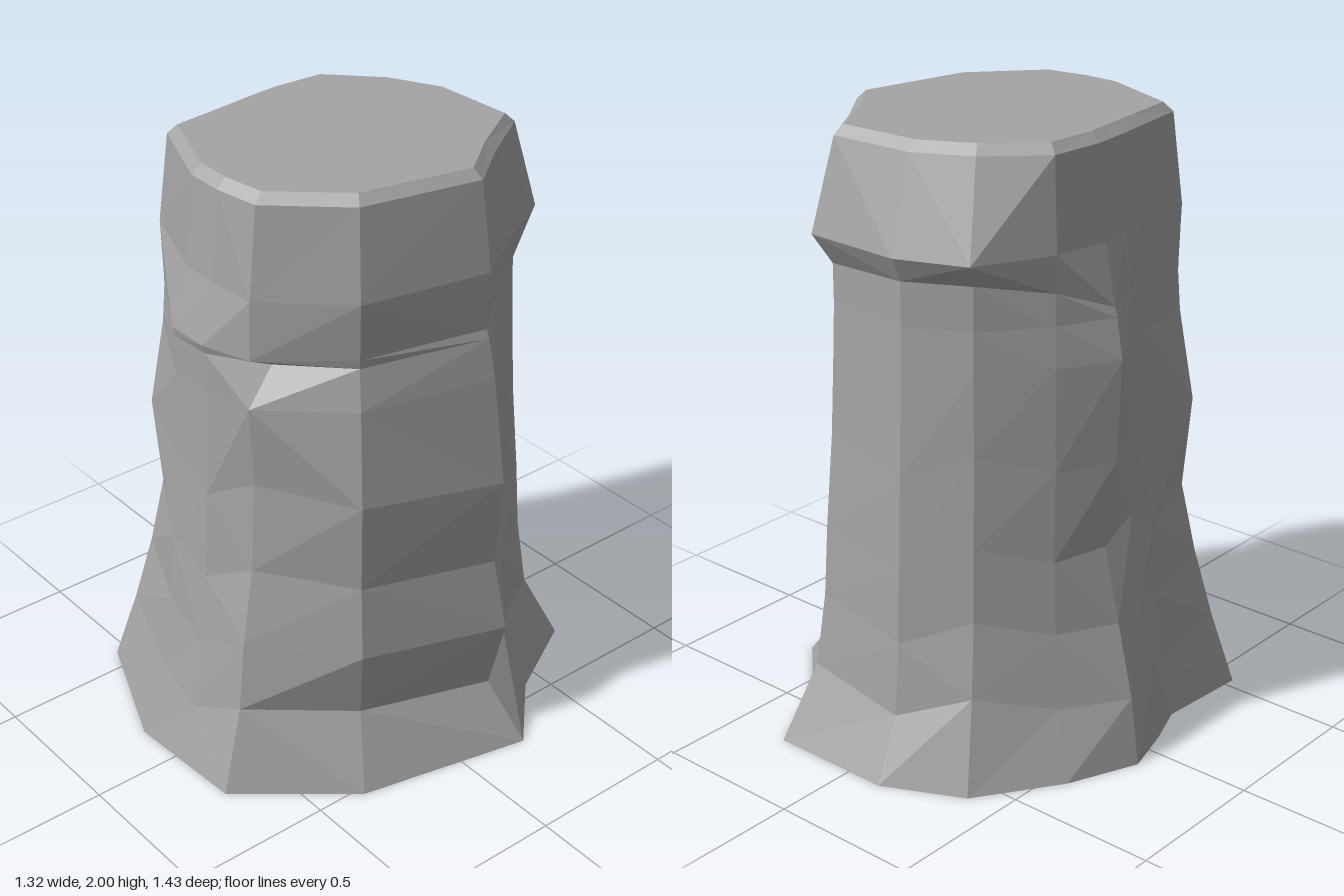
import * as THREE from 'three';

// Column directions in degrees, from +x towards +z
const ANGLES = [33, 70, 88, 103, 137, 158, 172, 188, 210, 237, 260, 292, 316, 341];

// Cross-sections from the ground up: height and one radius per column
const RINGS = [
  [0.0, [0.63, 0.73, 0.70, 0.73, 0.79, 0.60, 0.615, 0.666, 0.65, 0.705, 0.728, 0.776, 0.622, 0.694]],
  [0.24, [0.51, 0.635, 0.64, 0.65, 0.71, 0.56, 0.585, 0.63, 0.57, 0.605, 0.625, 0.65, 0.53, 0.555]],
  [0.48, [0.555, 0.60, 0.60, 0.61, 0.645, 0.53, 0.54, 0.565, 0.53, 0.56, 0.60, 0.615, 0.52, 0.61]],
  [0.72, [0.52, 0.545, 0.57, 0.595, 0.595, 0.52, 0.495, 0.50, 0.515, 0.55, 0.59, 0.60, 0.48, 0.56]],
  [1.02, [0.53, 0.52, 0.55, 0.57, 0.62, 0.485, 0.485, 0.54, 0.515, 0.54, 0.575, 0.575, 0.48, 0.58]],
  [1.33, [0.485, 0.54, 0.54, 0.56, 0.57, 0.47, 0.48, 0.555, 0.515, 0.535, 0.56, 0.56, 0.47, 0.535]],
  [1.46, [0.45, 0.41, 0.54, 0.56, 0.56, 0.46, 0.47, 0.53, 0.505, 0.53, 0.555, 0.555, 0.465, 0.51]],
  [1.49, [0.455, 0.53, 0.55, 0.565, 0.56, 0.46, 0.465, 0.52, 0.50, 0.53, 0.555, 0.555, 0.47, 0.50]],
  [1.68, [0.47, 0.52, 0.50, 0.51, 0.565, 0.46, 0.45, 0.475, 0.51, 0.595, 0.595, 0.62, 0.50, 0.507]],
  [1.97, [0.43, 0.48, 0.475, 0.485, 0.53, 0.445, 0.43, 0.44, 0.485, 0.475, 0.495, 0.54, 0.45, 0.47]],
];

// Heights that leave their ring (by ring, then column): front notch, undercut of the back brow
const HEIGHTS = {
  6: { 1: 1.42 },
  7: { 8: 1.56, 9: 1.6, 10: 1.6, 11: 1.58 },
};

// Turns a cross-section into points, with the lower courses staggered in height
function ringPoints([y, radii], level) {
  return radii.map((r, i) => {
    const a = THREE.MathUtils.degToRad(ANGLES[i]);
    const stagger = level >= 1 && level <= 4 ? 0.05 * Math.sin(2.3 * i) : 0;
    const height = HEIGHTS[level]?.[i] ?? y + stagger;
    return new THREE.Vector3(r * Math.cos(a), height, r * Math.sin(a));
  });
}

function facetMesh(name, triangles, material) {
  const geometry = new THREE.BufferGeometry().setFromPoints(triangles);
  geometry.computeVertexNormals();
  const mesh = new THREE.Mesh(geometry, material);
  mesh.name = name;
  return mesh;
}

// Distance of a diagonal's middle from the vertical axis
const reach = (p, q) => Math.hypot(p.x + q.x, p.z + q.z) / 2;

// Joins neighbouring rings, splitting each quad along the diagonal that stands out further
function skin(rings) {
  const out = [];
  for (let k = 0; k < rings.length - 1; k++) {
    const n = rings[k].length;
    for (let i = 0; i < n; i++) {
      const j = (i + 1) % n;
      const a = rings[k][i], b = rings[k][j], c = rings[k + 1][i], d = rings[k + 1][j];
      if (reach(a, d) > reach(b, c)) out.push(b, a, d, a, c, d);
      else out.push(b, a, c, b, c, d);
    }
  }
  return out;
}

function cap(ring, up) {
  const centre = new THREE.Vector3(0, ring[0].y, 0);
  return ring.flatMap((p, i) => {
    const q = ring[(i + 1) % ring.length];
    return up ? [centre, q, p] : [centre, p, q];
  });
}

export function createModel() {
  const stone = new THREE.MeshStandardMaterial({ color: 0xa4a4a4, flatShading: true });
  stone.name = 'grey stone';

  const rings = RINGS.map(ringPoints);
  const rim = rings[rings.length - 1];
  // Narrow bevel around the flat top
  const topEdge = ringPoints([2, RINGS[RINGS.length - 1][1].map((r) => r - 0.032)], RINGS.length);

  const group = new THREE.Group();
  group.name = 'rockPillar';
  group.add(
    facetMesh('craggySides', skin(rings), stone),
    facetMesh('topBevel', skin([rim, topEdge]), stone),
    facetMesh('flatTop', cap(topEdge, true), stone),
    facetMesh('underside', cap(rings[0], false), stone),
  );
  return group;
}
